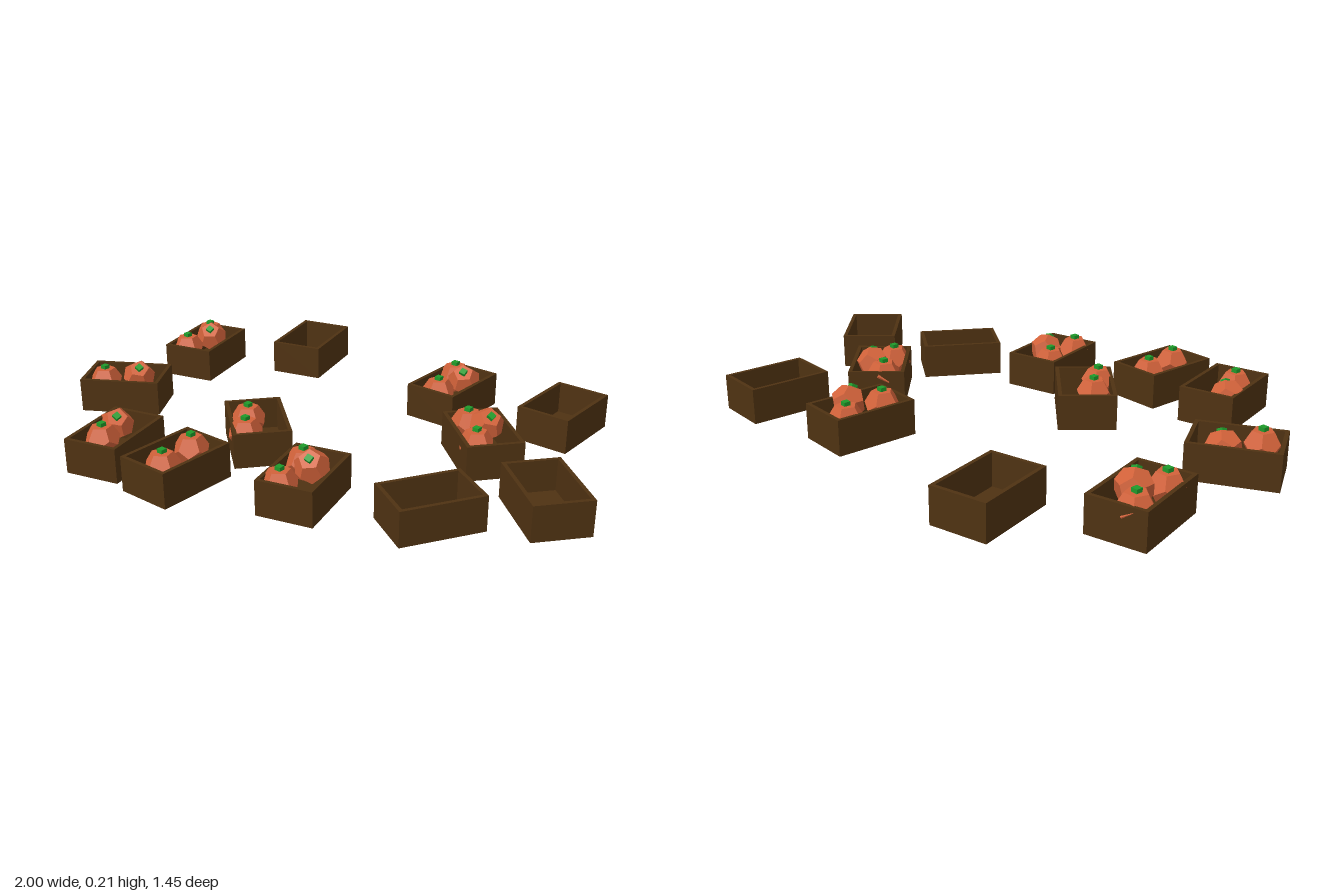
import * as THREE from 'three';

const wood = new THREE.MeshStandardMaterial({ color: 0x4f3212, flatShading: true });
const skin = new THREE.MeshStandardMaterial({ color: 0xd2623a, flatShading: true });
const green = new THREE.MeshStandardMaterial({ color: 0x1f9a2a, flatShading: true });

const W = 0.195, L = 0.29, H = 0.122, T = 0.013, R = 0.059;

// Crate walls: a rectangular ring extruded upwards
function ringGeometry() {
  const rect = (Type, w, l) => new Type([
    new THREE.Vector2(-w, -l), new THREE.Vector2(w, -l),
    new THREE.Vector2(w, l), new THREE.Vector2(-w, l)]);
  const shape = rect(THREE.Shape, W / 2, L / 2);
  shape.holes.push(rect(THREE.Path, W / 2 - T, L / 2 - T));
  return new THREE.ExtrudeGeometry(shape, { depth: H, bevelEnabled: false }).rotateX(-Math.PI / 2);
}

const wallGeo = ringGeometry();
const floorGeo = new THREE.BoxGeometry(W - 2 * T, T, L - 2 * T).translate(0, T / 2, 0);
// Fruit body: dodecahedron turned so that one face points straight up
const bodyGeo = new THREE.DodecahedronGeometry(R).rotateX(-Math.atan(2 / (1 + Math.sqrt(5))));
const stemGeo = new THREE.BoxGeometry(0.022, 0.018, 0.022).translate(0, R * 0.795 + 0.004, 0);

function mesh(name, geo, mat) {
  const m = new THREE.Mesh(geo, mat);
  m.name = name;
  return m;
}

function crate(x, y, z, degrees) {
  const g = new THREE.Group();
  g.name = 'crate';
  g.add(mesh('crateWalls', wallGeo, wood), mesh('crateFloor', floorGeo, wood));
  g.position.set(x, y, z);
  g.rotation.y = THREE.MathUtils.degToRad(degrees);
  return g;
}

// A pumpkin; (leanX, leanZ) is the horizontal lean of its stem
function pumpkin(x, y, z, leanX = 0, leanZ = 0) {
  const g = new THREE.Group();
  g.name = 'pumpkin';
  g.add(mesh('pumpkinBody', bodyGeo, skin), mesh('pumpkinStem', stemGeo, green));
  g.position.set(x, y, z);
  const up = new THREE.Vector3(0, 1, 0);
  g.quaternion.setFromUnitVectors(up, new THREE.Vector3(leanX, 1, leanZ).normalize());
  return g;
}

export function createModel() {
  const model = new THREE.Group();
  model.name = 'pumpkinCrates';

  // Each crate: x, base height, z, turn, then its fruit as [x, lift, z, leanX, leanZ]
  const crates = [
    [-0.56, 0.03, -0.54, 15, []],
    [0.56, 0.03, -0.58, 0, []],
    [0.82, 0.03, -0.01, 50, []],
    [0.55, 0, 0.21, -30.5, []],
    [-0.87, 0.03, -0.25, 15,
      [[-0.925, 0, -0.33], [-0.863, 0.022, -0.275, 0.45, 0.65], [-0.89, 0, -0.17]]],
    [0.147, 0.03, -0.505, 0,
      [[0.105, 0, -0.585], [0.18, 0.022, -0.53, 0.3, 0.65], [0.14, 0, -0.425]]],
    [0.46, 0.03, -0.217, 50,
      [[0.375, 0, -0.26], [0.452, 0.022, -0.254, 0.65, 0.45], [0.485, 0, -0.14]]],
    [0.18, 0.02, 0.367, 15,
      [[0.125, 0, 0.305], [0.19, 0.022, 0.34, 0.35, 0.75], [0.163, 0, 0.46]]],
    [-0.826, 0.03, 0.207, -58.5, [[-0.875, 0, 0.265], [-0.815, 0, 0.157, 0.6, 0.45]]],
    [-0.18, 0.03, 0.19, 50, [[-0.227, 0, 0.185], [-0.158, 0, 0.272]]],
    [-0.48, 0.03, 0.56, 15, [[-0.487, 0, 0.608], [-0.543, 0, 0.5, 0.65, 0.45]]],
    [-0.2, 0.03, 0.55, 0, [[-0.206, 0, 0.475], [-0.187, 0, 0.618]]],
  ];

  for (const [x, y, z, turn, fruit] of crates) {
    model.add(crate(x, y, z, turn));
    for (const [fx, lift, fz, leanX, leanZ] of fruit) {
      model.add(pumpkin(fx, y + 0.095 + lift, fz, leanX, leanZ));
    }
  }
  return model;
}
